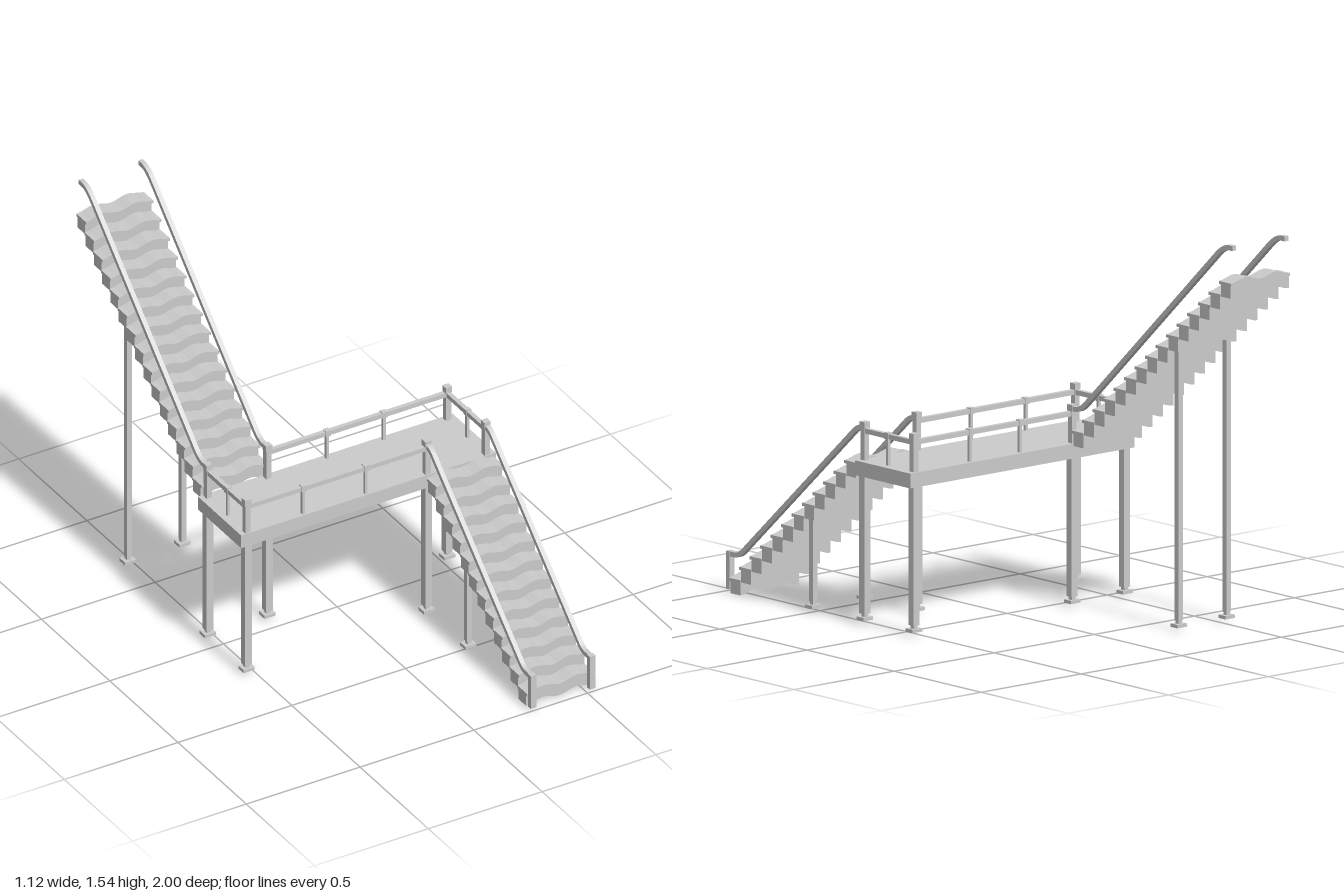
import * as THREE from 'three';

const MAT = new THREE.MeshStandardMaterial({ color: 0xcccccc });
const RISE = 0.051, RUN = 0.0604, FLIGHT_W = 0.296;
const POST_FRONT = 0.215, POST_BACK = -0.068, LANDING_TOP = 0.632;

function add(parent, name, geometry, x = 0, y = 0, z = 0) {
  const mesh = new THREE.Mesh(geometry, MAT);
  mesh.name = name;
  mesh.position.set(x, y, z);
  parent.add(mesh);
  return mesh;
}

// Box given by its limits on each axis
function block(parent, name, [x0, x1], [y0, y1], [z0, z1]) {
  return add(parent, name, new THREE.BoxGeometry(x1 - x0, y1 - y0, z1 - z0),
    (x0 + x1) / 2, (y0 + y1) / 2, (z0 + z1) / 2);
}

const around = (c, size) => [c - size / 2, c + size / 2];

// Slab whose top and bottom ripple across its width; top mean height is y = 0
function wavySlab(width, thickness, depth) {
  const n = 16, top = [], bottom = [];
  for (let i = 0; i <= n; i++) {
    const x = (i / n - 0.5) * width;
    const y = -0.008 * Math.cos((4 * Math.PI * x) / width);
    top.unshift(new THREE.Vector2(x, y));
    bottom.push(new THREE.Vector2(x, y - thickness));
  }
  const shape = new THREE.Shape([...bottom, ...top]);
  return new THREE.ExtrudeGeometry(shape, { depth, bevelEnabled: false });
}

// Square bar that follows a side profile of [z, y] points with rounded bends
function sweptRail(points, size) {
  const path = new THREE.CurvePath();
  const v = points.map(([z, y]) => new THREE.Vector2(z, y));
  path.add(new THREE.LineCurve(v[0], v[1]));
  path.add(new THREE.QuadraticBezierCurve(v[1], v[2], v[3]));
  path.add(new THREE.LineCurve(v[3], v[4]));
  path.add(new THREE.QuadraticBezierCurve(v[4], v[5], v[6]));
  path.add(new THREE.LineCurve(v[6], v[7]));
  const pts = path.getPoints(6);
  const upper = [], lower = [];
  pts.forEach((p, i) => {
    const a = pts[Math.max(i - 1, 0)], b = pts[Math.min(i + 1, pts.length - 1)];
    const t = b.clone().sub(a).normalize();
    const normal = new THREE.Vector2(-t.y, t.x).multiplyScalar(size / 2);
    upper.unshift(p.clone().add(normal));
    lower.push(p.clone().sub(normal));
  });
  const geo = new THREE.ExtrudeGeometry(new THREE.Shape([...lower, ...upper]),
    { depth: size, bevelEnabled: false });
  return geo.translate(0, 0, -size / 2).rotateY(-Math.PI / 2);
}

// Leg standing on a neck and a square foot plate
function leg(parent, name, x, z, top, size) {
  const g = new THREE.Group();
  g.name = name;
  block(g, 'legShaft', around(x, size), [0.04, top], around(z, size));
  block(g, 'legNeck', around(x, 0.018), [0.027, 0.04], around(z, 0.018));
  block(g, 'footPlate', around(x, 0.048), [0.015, 0.028], around(z, 0.04));
  parent.add(g);
}

// Run of rippled steps climbing towards the back
function flight(name, count, x, firstTop, frontZ) {
  const g = new THREE.Group();
  g.name = name;
  const tread = wavySlab(FLIGHT_W, 0.012, 0.07);
  const riser = wavySlab(FLIGHT_W - 0.004, 0.047, 0.056);
  for (let i = 0; i < count; i++) {
    const y = firstTop + i * RISE, z = frontZ - i * RUN;
    add(g, 'tread', tread, x, y, z - 0.07);
    add(g, 'riserBlock', riser, x, y - 0.012, z - 0.066);
  }
  return g;
}

// Level guard rail between two points, with slim balusters
function guardRail(parent, name, [x0, z0], [x1, z1], balusters) {
  const g = new THREE.Group();
  g.name = name;
  const t = 0.018;
  block(g, 'guardBar', [Math.min(x0, x1) - t / 2, Math.max(x0, x1) + t / 2], [0.736, 0.755],
    [Math.min(z0, z1) - t / 2, Math.max(z0, z1) + t / 2]);
  for (const [x, z] of balusters) {
    block(g, 'baluster', around(x, 0.012), [LANDING_TOP - 0.01, 0.737], around(z, 0.012));
    block(g, 'balusterCollar', around(x, 0.022), [0.733, 0.759], around(z, 0.022));
  }
  parent.add(g);
}

export function createModel() {
  const root = new THREE.Group();
  root.name = 'staircase';

  // Landing
  block(root, 'landing', [-0.56, 0.56], [0.575, LANDING_TOP], [-0.088, 0.23]);

  // Landing legs, each carrying a rail post
  const corners = [
    [-0.528, POST_FRONT], [0.264, POST_FRONT], [0.524, POST_FRONT],
    [-0.528, POST_BACK], [-0.266, POST_BACK], [0.524, POST_BACK],
  ];
  for (const [x, z] of corners) {
    leg(root, 'landingLeg', x, z, 0.58, 0.03);
    block(root, 'railPost', around(x, 0.023), [LANDING_TOP - 0.01, 0.765], around(z, 0.023));
    block(root, 'postCap', around(x, 0.027), [0.755, 0.78], around(z, 0.027));
  }

  // Guard rails round the landing
  guardRail(root, 'frontGuardRail', [-0.528, POST_FRONT], [0.264, POST_FRONT],
    [[-0.28, POST_FRONT], [-0.005, POST_FRONT]]);
  guardRail(root, 'backGuardRail', [-0.266, POST_BACK], [0.524, POST_BACK],
    [[-0.005, POST_BACK], [0.245, POST_BACK]]);
  for (const x of [-0.528, 0.524]) {
    guardRail(root, 'sideGuardRail', [x, POST_BACK], [x, POST_FRONT], [[x, 0.08]]);
  }

  // Flights
  const lower = flight('lowerFlight', 12, 0.402, 0.067, 0.967);
  const upper = flight('upperFlight', 15, -0.402, 0.69, -0.078);
  root.add(lower, upper);

  // Lower handrails with newel posts
  const lowerRail = sweptRail([[0.985, 0.146], [0.955, 0.146], [0.925, 0.146], [0.9, 0.172],
    [0.275, 0.73], [0.25, 0.755], [0.225, 0.757], [0.212, 0.757]], 0.019);
  for (const x of [0.264, 0.524]) {
    add(lower, 'handrail', lowerRail, x);
    block(lower, 'newelPost', around(x, 0.025), [0.01, 0.156], [0.977, 0.998]);
  }

  // Upper handrails
  const upperRail = sweptRail([[-0.065, 0.765], [-0.095, 0.765], [-0.125, 0.768], [-0.152, 0.793],
    [-0.905, 1.494], [-0.94, 1.527], [-0.97, 1.532], [-0.998, 1.532]], 0.019);
  for (const x of [-0.528, -0.266]) add(upper, 'handrail', upperRail, x);

  // Slim legs under the flights
  for (const x of [0.272, 0.528]) leg(lower, 'flightLeg', x, 0.505, 0.38, 0.022);
  for (const x of [-0.526, -0.286]) leg(upper, 'flightLeg', x, -0.657, 1.11, 0.022);

  return root;
}
